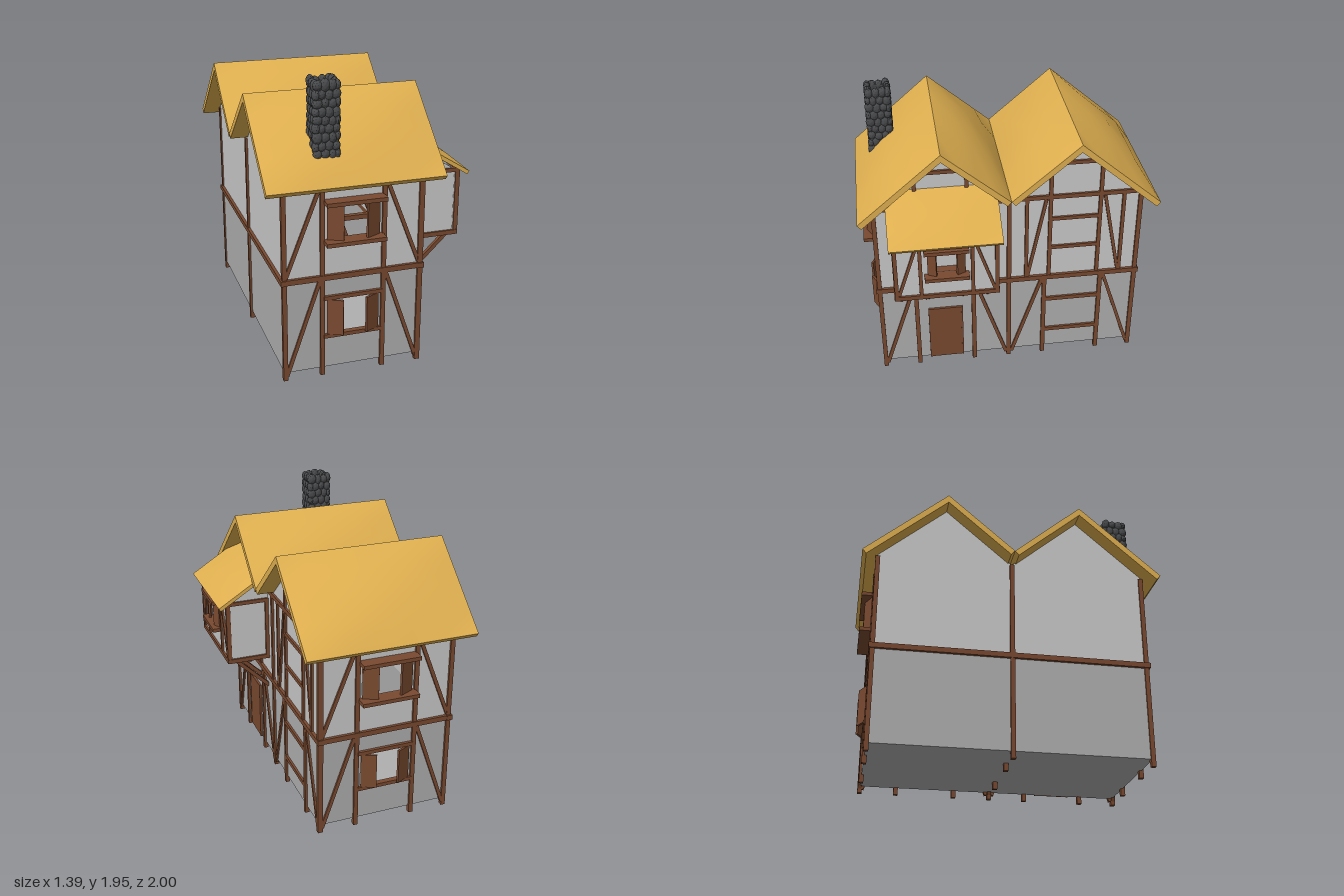
import * as THREE from 'three';
import { mergeGeometries } from 'three/addons/utils/BufferGeometryUtils.js';

const mat = (color, extra = {}) => new THREE.MeshStandardMaterial({ color, ...extra });
const wood = mat(0x7a4a30), plaster = mat(0xcccccc, { side: THREE.DoubleSide });
const lowerPlaster = mat(0xb0b0b0, { side: THREE.DoubleSide });
const thatch = mat(0xe0b050), stone = mat(0x4a4b4d, { flatShading: true });

function add(parent, name, geo, material, x = 0, y = 0, z = 0) {
  const m = new THREE.Mesh(geo, material);
  m.name = name;
  m.position.set(x, y, z);
  parent.add(m);
  return m;
}

function group(parent, name, x, y, z, turn = 0) {
  const g = new THREE.Group();
  g.name = name;
  g.position.set(x, y, z);
  g.rotation.y = turn;
  parent.add(g);
  return g;
}

// Timber between two points of a wall's own plane
function bar(parent, name, u1, y1, u2, y2, w = 0.03, d = 0.03) {
  const len = Math.hypot(u2 - u1, y2 - y1);
  const m = add(parent, name, new THREE.BoxGeometry(len, w, d), wood, (u1 + u2) / 2, (y1 + y2) / 2, 0);
  m.rotation.z = Math.atan2(y2 - y1, u2 - u1);
  return m;
}

// Wall panel from an outline, with rectangular holes [u1, y1, u2, y2]
function panel(parent, name, pts, material, holes = []) {
  const s = new THREE.Shape(pts.map(p => new THREE.Vector2(...p)));
  for (const [a, b, c, d] of holes)
    s.holes.push(new THREE.Path([[a, b], [a, d], [c, d], [c, b]].map(p => new THREE.Vector2(...p))));
  const geo = new THREE.ExtrudeGeometry(s, { depth: 0.02, bevelEnabled: false });
  return add(parent, name, geo, material, 0, 0, -0.02);
}
const rect = (a, b, c, d) => [[a, b], [c, b], [c, d], [a, d]];

// Sill, lintel and a pair of half-open shutters
function windowParts(parent, u, half, y0, y1, proj, shutterW) {
  for (const [n, y] of [['windowSill', y0 - 0.012], ['windowLintel', y1 + 0.012]])
    add(parent, n, new THREE.BoxGeometry(half * 2, 0.026, proj + 0.015), wood, u, y, (proj - 0.015) / 2);
  for (const s of [-1, 1]) {
    const hinge = group(parent, 'shutter', u + s * (half - 0.025), (y0 + y1) / 2, 0.005);
    hinge.rotation.y = s * 0.45;
    add(hinge, 'shutterBoard', new THREE.BoxGeometry(shutterW, y1 - y0, 0.015), wood, -s * shutterW / 2, 0, 0);
  }
}

// Timber frame shared by the end walls and the inner partition
function endFrame(parent) {
  bar(parent, 'storeyBeam', -0.47, 0.69, 0.47, 0.69, 0.035, 0.04);
  for (const s of [-1, 1]) {
    bar(parent, 'cornerPost', s * 0.45, 0, s * 0.45, 1.34);
    bar(parent, 'post', s * 0.203, 0, s * 0.203, 1.34);
    bar(parent, 'lowerBrace', s * 0.44, 0.03, s * 0.22, 0.67, 0.024, 0.026);
    bar(parent, 'upperBrace', s * 0.44, 0.72, s * 0.22, 1.29, 0.024, 0.026);
  }
}

function endWall(parent, name, z, turn) {
  const g = group(parent, name, -0.125, 0, z, turn);
  panel(g, 'lowerWall', rect(-0.455, 0.05, 0.455, 0.69), lowerPlaster, [[-0.17, 0.29, 0.17, 0.53]]);
  panel(g, 'upperWall', rect(-0.455, 0.69, 0.455, 1.36), plaster, [[-0.17, 0.945, 0.17, 1.18]]);
  endFrame(g);
  windowParts(g, 0, 0.195, 0.29, 0.535, 0.02, 0.105);
  windowParts(g, 0, 0.195, 0.945, 1.185, 0.085, 0.105);
}

// Long wall with twin gables
function gableWall(parent, name, x, turn) {
  const g = group(parent, name, x, 0, 0, turn);
  panel(g, 'lowerWall', rect(-0.895, 0.05, 0.895, 0.69), lowerPlaster);
  panel(g, 'gables', [[-0.895, 0.69], [0.895, 0.69], [0.895, 1.36], [0.45, 1.75], [0, 1.365],
    [-0.45, 1.75], [-0.895, 1.36]], plaster);
  bar(g, 'storeyBeam', -0.92, 0.69, 0.92, 0.69, 0.035, 0.04);
  bar(g, 'middlePost', 0, 0, 0, 1.36);
  return g;
}

// Thatch slab: top puffs out, ridge edge at the local origin, sloping to +z
function thatchPanel(parent, len, run, drop, puff, thick = 0.04) {
  const slope = Math.hypot(run, drop);
  const geo = new THREE.BoxGeometry(len, thick, slope, 4, 1, 4);
  const p = geo.attributes.position;
  for (let i = 0; i < p.count; i++) {
    if (p.getY(i) < 0) continue;
    const edge = Math.min(0.5 - Math.abs(p.getX(i) / len), 0.5 - Math.abs(p.getZ(i) / slope));
    p.setY(i, p.getY(i) + puff * Math.sin(edge * Math.PI));
  }
  geo.translate(0, -thick / 2, slope / 2);
  geo.computeVertexNormals();
  const m = add(parent, 'thatch', geo, thatch);
  m.rotation.x = Math.atan2(drop, run);
}

function rightTimbers(g) {
  bar(g, 'wallPlate', -0.9, 1.35, 0.9, 1.35);
  // Lower storey
  for (const c of [-0.45, 0.45]) for (const s of [-1, 1]) {
    bar(g, 'lowerPost', c + s * 0.2, 0, c + s * 0.2, 0.68);
    bar(g, 'lowerBrace', c + s * 0.43, 0.03, c + s * 0.22, 0.67, 0.024, 0.026);
    bar(g, 'gablePost', c + s * 0.17, 0.7, c + s * 0.17, 1.61, 0.026);
  }
  for (const c of [-0.45, 0.45]) bar(g, 'collarBeam', c - 0.185, 1.605, c + 0.185, 1.605, 0.026);
  // Rear bay of the wall
  for (const s of [-1, 1]) {
    bar(g, 'upperPost', 0.45 + s * 0.33, 0.7, 0.45 + s * 0.33, 1.35, 0.024);
    bar(g, 'upperBrace', 0.45 + s * 0.32, 0.71, 0.45 + s * 0.2, 1.33, 0.022, 0.026);
  }
  for (const y of [0.21, 0.49]) bar(g, 'rail', 0.25, y, 0.65, y);
  for (const y of [0.94, 1.175]) bar(g, 'rail', 0.28, y, 0.62, y, 0.026);
  for (const u of [-0.895, 0.895]) bar(g, 'cornerPost', u, 0, u, 1.35);
  // Door
  add(g, 'door', new THREE.BoxGeometry(0.24, 0.44, 0.02), wood, -0.45, 0.27, 0.003);
  for (const s of [-1, 1]) bar(g, 'doorJamb', -0.45 + s * 0.115, 0.05, -0.45 + s * 0.115, 0.49, 0.012, 0.032);
  bar(g, 'doorHead', -0.57, 0.485, -0.33, 0.485, 0.012, 0.032);
}

// Jettied oriel on the right wall; local +z points away from the wall
function oriel(parent) {
  const g = group(parent, 'oriel', 0.33, 0, 0.45, Math.PI / 2);
  const front = group(g, 'orielFront', 0, 0, 0.29);
  panel(front, 'orielWall', rect(-0.335, 0.84, 0.335, 1.27), plaster, [[-0.12, 1.015, 0.12, 1.2]]);
  bar(front, 'orielBeam', -0.345, 0.838, 0.345, 0.838);
  bar(front, 'orielPlate', -0.345, 1.265, 0.345, 1.265);
  for (const s of [-1, 1]) {
    bar(front, 'orielPost', s * 0.33, 0.83, s * 0.33, 1.27, 0.026);
    bar(front, 'orielPost', s * 0.17, 0.83, s * 0.17, 1.27, 0.024);
    bar(front, 'orielBrace', s * 0.315, 0.86, s * 0.19, 1.24, 0.02, 0.026);
    // Side cheeks
    const side = group(g, 'orielSide', s * 0.333, 0, 0, s * Math.PI / 2);
    const k = -s;
    const pts = [[0, 0.83], [k * 0.29, 0.83], [k * 0.29, 1.26], [0, 1.44]];
    panel(side, 'orielCheek', pts, plaster);
    bar(side, 'cheekBeam', 0, 0.838, k * 0.29, 0.838);
    bar(side, 'cheekBeam', 0, 1.27, k * 0.29, 1.27, 0.026);
    bar(side, 'cheekPost', k * 0.012, 0.83, k * 0.012, 1.27, 0.024);
  }
  windowParts(front, 0, 0.145, 1.015, 1.2, 0.065, 0.06);
  add(g, 'orielFloor', new THREE.BoxGeometry(0.67, 0.02, 0.29), wood, 0, 0.84, 0.145);
  // Raking struts
  for (const u of [-0.305, -0.12, 0.12, 0.305]) {
    const strut = group(g, 'strut', u, 0, 0, -Math.PI / 2);
    bar(strut, 'strutTimber', 0, 0.59, 0.245, 0.83, 0.026, 0.026);
  }
  const roof = group(g, 'orielRoof', 0, 1.485, 0);
  thatchPanel(roof, 0.73, 0.36, 0.225, 0.025, 0.025);
}

// Rough stone stack laid as rings of jittered blocks around an open flue
function chimney(parent) {
  let seed = 7;
  const rnd = () => (seed = (seed * 16807) % 2147483647) / 2147483647 - 0.5;
  const stones = [];
  for (let row = 0; row < 9; row++) for (let i = 0; i < 12; i++) {
    const side = Math.floor(i / 3), t = (i % 3 - 1) * 0.046 + 0.012 * (row % 2 ? 1 : -1);
    const geo = new THREE.IcosahedronGeometry(1, 1);
    geo.rotateX(rnd() * 6).rotateY(rnd() * 6);
    geo.scale(0.032 + rnd() * 0.008, 0.038 + rnd() * 0.012, 0.024 + rnd() * 0.003);
    geo.translate(t, 1.49 + row * 0.0525 + rnd() * 0.012, 0.066);
    geo.rotateY(side * Math.PI / 2);
    stones.push(geo);
  }
  const g = group(parent, 'chimney', -0.29, 0, 0.805);
  add(g, 'chimneyStones', mergeGeometries(stones), stone);
  for (let i = 0; i < 4; i++) {
    const s = group(g, 'flueSide', 0, 0, 0, i * Math.PI / 2);
    add(s, 'flueWall', new THREE.BoxGeometry(0.14, 0.44, 0.03), stone, 0, 1.7, 0.062);
  }
}

export function createModel() {
  const model = new THREE.Group();
  model.name = 'house';
  endWall(model, 'frontWall', 0.895, 0);
  endWall(model, 'backWall', -0.895, Math.PI);
  endFrame(group(model, 'innerFrame', -0.125, 0, 0));
  rightTimbers(gableWall(model, 'rightWall', 0.33, Math.PI / 2));
  gableWall(model, 'leftWall', -0.58, -Math.PI / 2);
  add(model, 'floor', new THREE.BoxGeometry(0.9, 0.01, 1.78), lowerPlaster, -0.125, 0.055, 0);
  oriel(model);
  // Twin thatched roofs meeting in a valley
  for (const turn of [0, Math.PI]) {
    const half = group(model, 'roof', -0.125, 0, 0, turn);
    thatchPanel(group(half, 'outerSlope', 0, 1.79, 0.45), 1.15, 0.55, 0.475, 0.065);
    thatchPanel(group(half, 'innerSlope', 0, 1.79, 0.45, Math.PI), 1.15, 0.45, 0.385, 0.055);
  }
  chimney(model);
  return model;
}
